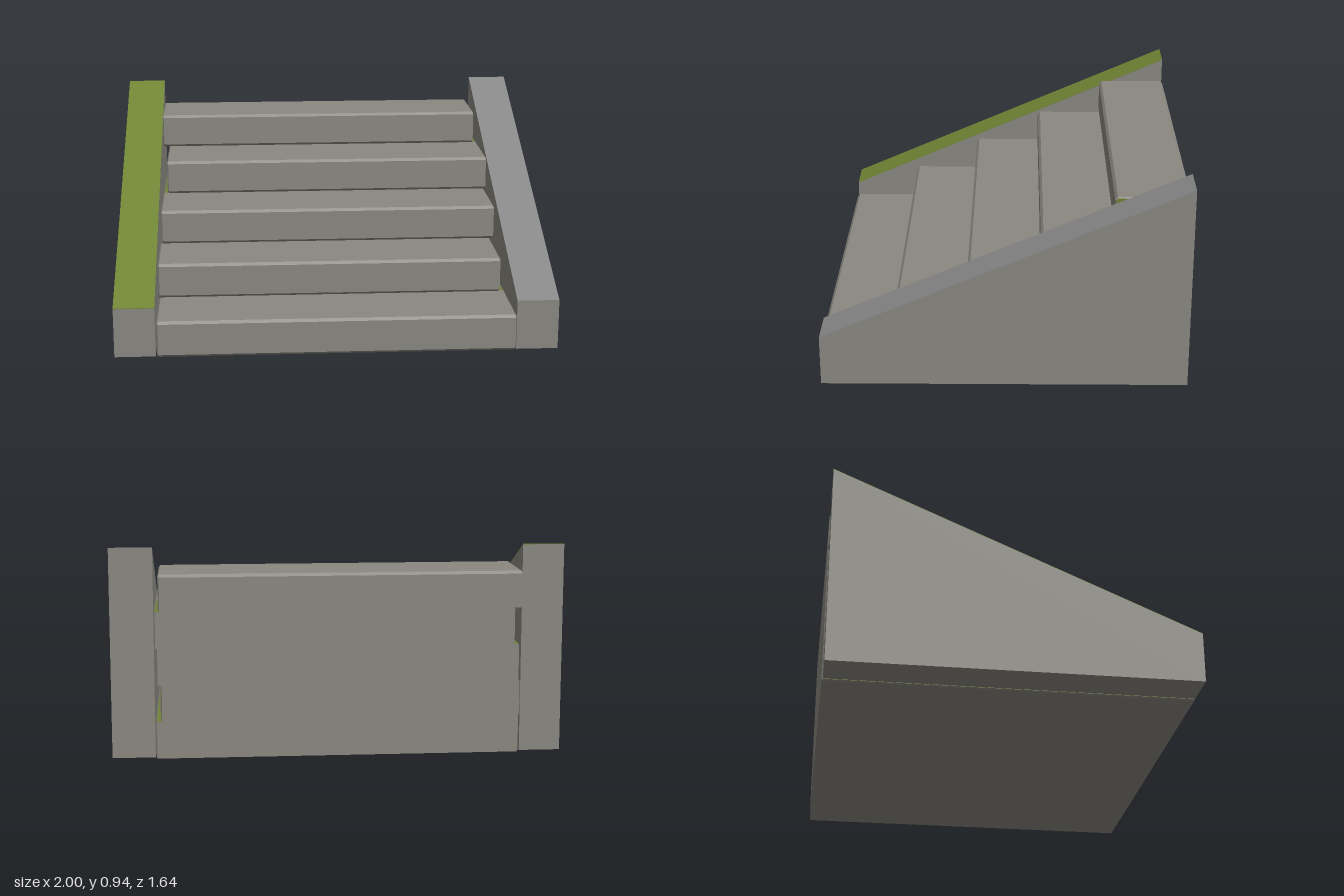
import * as THREE from 'three';

const material = (name, color) => {
  const m = new THREE.MeshStandardMaterial({ color });
  m.name = name;
  return m;
};

// Extrudes a side profile of [z, y] points (back-facing order) from x0 to x1
function prism(name, points, x0, x1, mats, bevel = 0) {
  const shape = new THREE.Shape(points.map(([z, y]) => new THREE.Vector2(-z, y)));
  const geo = new THREE.ExtrudeGeometry(shape, {
    depth: x1 - x0 - 2 * bevel,
    bevelEnabled: bevel > 0,
    bevelThickness: bevel,
    bevelSize: bevel,
    bevelOffset: -bevel,
    bevelSegments: 1,
  });
  geo.rotateY(Math.PI / 2);
  geo.translate(x0 + bevel, 0, 0);
  const mesh = new THREE.Mesh(geo, mats);
  mesh.name = name;
  return mesh;
}

export function createModel() {
  const group = new THREE.Group();
  group.name = 'stairs';
  const stone = material('stone', 0x8a8880);
  const moss = material('moss', 0x708534);
  const coping = material('coping grey', 0x888888);

  // Stacked step slabs, each slightly uneven in length: [front z, left end, right end]
  const back = -0.82, rise = 0.163, c = 0.012;
  const steps = [
    [0.82, -0.81, 0.808],
    [0.49, -0.814, 0.785],
    [0.165, -0.808, 0.802],
    [-0.16, -0.787, 0.81],
    [-0.485, -0.818, 0.79],
  ];
  steps.forEach(([front, x0, x1], i) => {
    const y0 = i ? 0.005 + i * rise : 0, y1 = 0.005 + (i + 1) * rise;
    const last = i === steps.length - 1;
    const profile = [[front - c, y0], [back, y0]];
    if (last) profile.push([back, y1 - c], [back + c, y1]);
    else profile.push([back, y1]);
    profile.push([front - c, y1], [front, y1 - c], [front, y0 + c]);
    group.add(prism(`step${i + 1}`, profile, x0, x1, [moss, stone], 0.006));

    // Mossy bed beneath the next slab, seen only in the end gaps
    if (!last) {
      const z0 = steps[i + 1][0] - 0.015;
      const bed = new THREE.Mesh(new THREE.BoxGeometry(x1 - x0 - 0.012, 0.004, z0 - back - 0.012), moss);
      bed.position.set((x0 + x1) / 2, y1, (z0 + back) / 2);
      bed.name = `mossBed${i + 1}`;
      group.add(bed);
    }
  });

  // Sloping side walls with a thin coloured coping
  const z = 0.815, base = 0.005, low = 0.235, high = 0.94, t = 0.003;
  [['right', -1, -0.816, moss], ['left', 0.81, 1, coping]].forEach(([side, x0, x1, top]) => {
    group.add(prism(`${side}Wall`, [[z, base], [-z, base], [-z, high - t], [z, low - t]], x0, x1, stone));
    group.add(prism(`${side}Coping`, [[z, low - t], [-z, high - t], [-z, high], [z, low]], x0, x1, top));
  });
  return group;
}
